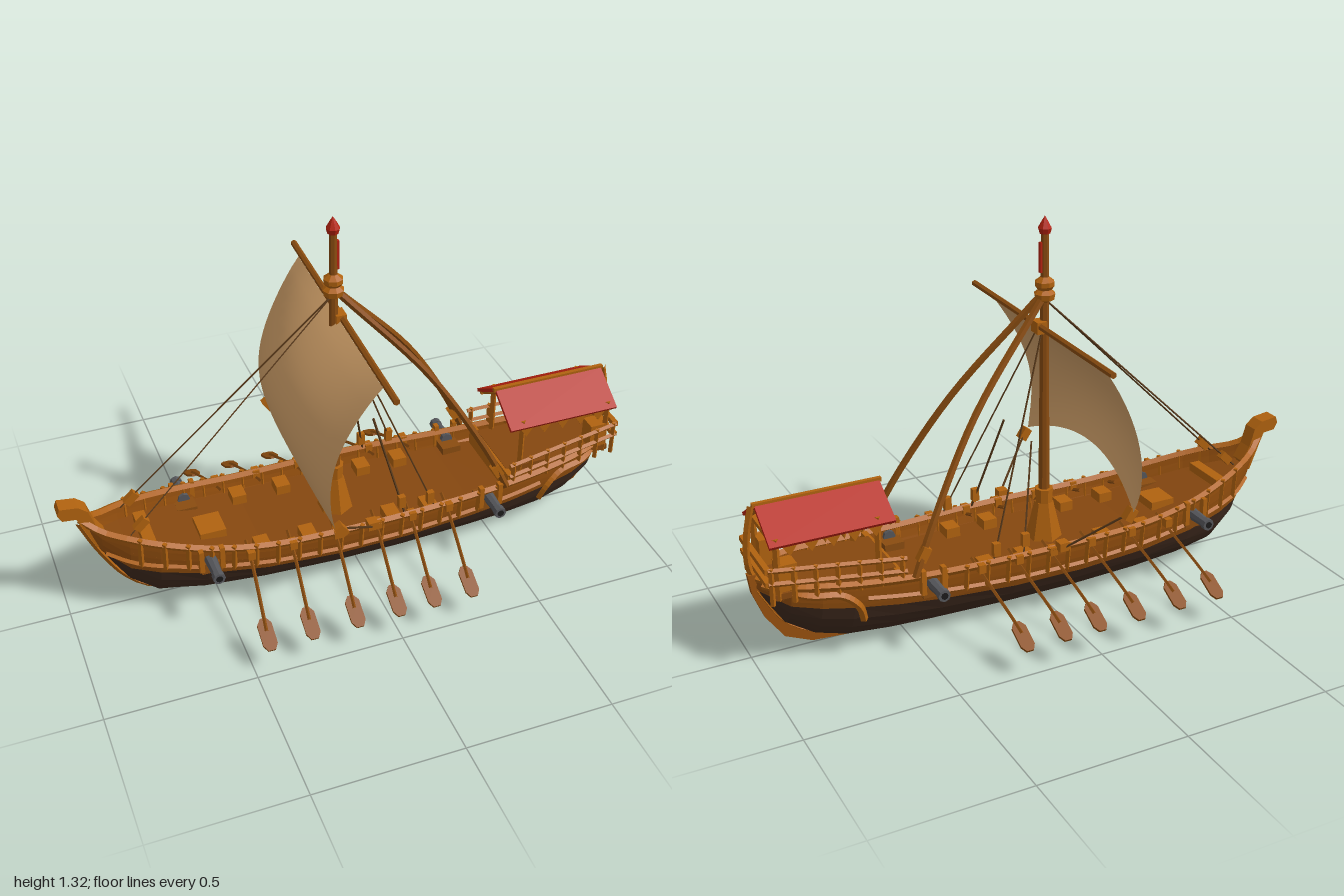
import * as THREE from 'three';

const mat = (name, color, extra = {}) => Object.assign(
  new THREE.MeshStandardMaterial({ color, flatShading: true, ...extra }), { name });
const both = { side: THREE.DoubleSide };

export function createModel() {
  const ship = new THREE.Group();
  ship.name = 'sailingShip';
  const hullWood = mat('hull wood', 0x96500e, both);
  const bottomPaint = mat('dark bottom', 0x3f2a1e, both);
  const deckWood = mat('deck wood', 0x85470f, both);
  const trim = mat('light trim', 0xb0620f);
  const spar = mat('spar wood', 0x8a4c10);
  const red = mat('red', 0xb5220f, both);
  const canvas = mat('canvas', 0xd3a26a, { side: THREE.DoubleSide, flatShading: false });
  const iron = mat('iron', 0x55565a);
  const black = mat('bore black', 0x1c1a1a);
  const rope = mat('rope', 0x5a3a1a);

  const V = (x, y, z) => new THREE.Vector3(x, y, z);
  const add = (name, geo, material, x = 0, y = 0, z = 0) => {
    const m = new THREE.Mesh(geo, material);
    m.name = name;
    m.position.set(x, y, z);
    ship.add(m);
    return m;
  };
  const box = (name, m, w, h, d, x, y, z) => add(name, new THREE.BoxGeometry(w, h, d), m, x, y, z);
  // round bar between two points
  const bar = (name, m, a, b, r0, r1 = r0, sides = 6) => {
    const dir = b.clone().sub(a);
    const o = add(name, new THREE.CylinderGeometry(r1, r0, dir.length(), sides), m);
    o.position.copy(a).add(b).multiplyScalar(0.5);
    o.quaternion.setFromUnitVectors(V(0, 1, 0), dir.normalize());
    return o;
  };
  const tube = (name, m, pts, r, n = 24, sides = 4) =>
    add(name, new THREE.TubeGeometry(new THREE.CatmullRomCurve3(pts), n, r, sides), m);
  // skin over a list of equal-length cross-sections
  const loft = (name, m, rings) => {
    const n = rings[0].length, idx = [];
    for (let i = 0; i < rings.length - 1; i++) for (let j = 0; j < n - 1; j++) {
      const a = i * n + j, b = a + n;
      idx.push(a, b, a + 1, b, b + 1, a + 1);
    }
    const g = new THREE.BufferGeometry().setFromPoints(rings.flat());
    g.setIndex(idx);
    g.computeVertexNormals();
    return add(name, g, m);
  };
  const plate = (name, m, pts, depth) => {
    const g = new THREE.ExtrudeGeometry(new THREE.Shape(pts.map(p => new THREE.Vector2(...p))),
      { depth, bevelEnabled: false });
    return add(name, g.translate(0, 0, -depth / 2), m);
  };

  // hull stations: x, keel height, sheer height, half width
  const stations = [
    [-0.93, 0.37, 0.39, 0.012], [-0.87, 0.23, 0.35, 0.05], [-0.79, 0.1, 0.33, 0.095],
    [-0.7, 0.03, 0.31, 0.132], [-0.55, 0.012, 0.28, 0.172], [-0.35, 0.005, 0.255, 0.197],
    [-0.1, 0, 0.25, 0.207], [0.15, 0, 0.25, 0.205], [0.4, 0.003, 0.25, 0.19],
    [0.55, 0.008, 0.255, 0.178], [0.7, 0.02, 0.265, 0.16], [0.8, 0.05, 0.275, 0.143],
    [0.89, 0.11, 0.28, 0.11], [0.97, 0.24, 0.29, 0.02]];
  const at = x => {
    let i = 0;
    while (i < stations.length - 2 && x > stations[i + 1][0]) i++;
    const a = stations[i], b = stations[i + 1], t = (x - a[0]) / (b[0] - a[0]);
    return a.map((v, k) => v + (b[k] - v) * t);
  };
  const hullZ = (x, y) => {
    const [, k, s, w] = at(x), t = Math.min(1, Math.max(0, (y - k) / (s - k)));
    return w * Math.sqrt(1 - (1 - t) ** 2);
  };
  const water = x => Math.min(at(x)[2], Math.max(at(x)[1], 0.13 + 0.1 * x * x));
  const xs = stations.map(s => s[0]);
  const span = (a, b, n) => Array.from({ length: n + 1 }, (_, i) => a + (b - a) * i / n);

  loft('hullBottom', bottomPaint, xs.map(x => span(-1, 1, 12).map(s => {
    const k = at(x)[1], y = k + (water(x) - k) * s * s;
    return V(x, y, Math.sign(s) * hullZ(x, y));
  })));
  loft('deck', deckWood, xs.slice(1).map(x => {
    const y = Math.max(at(x)[2] - 0.06, at(x)[1]), z = hullZ(x, y);
    return [V(x, y, z), V(x, y, -z)];
  }));
  // keel, stem and stern boards
  tube('keelAndStem', trim, stations.map(([x, k]) => V(x, Math.max(k, 0.012), 0)), 0.013, 50);
  plate('sternBoard', hullWood, [[0.68, 0.006], [0.8, 0.015], [0.89, 0.055], [0.95, 0.14],
    [0.985, 0.23], [0.995, 0.3], [0.94, 0.29], [0.9, 0.13], [0.8, 0.05]], 0.022);
  plate('bowScroll', trim, [[-0.85, 0.31], [-0.885, 0.27], [-0.925, 0.37], [-0.94, 0.405],
    [-0.985, 0.41], [-0.998, 0.435], [-0.99, 0.458], [-0.93, 0.45], [-0.9, 0.425], [-0.88, 0.36]], 0.055);

  for (const s of [1, -1]) {
    const along = (list, yf, out) => list.map(x => V(x, yf(x), s * (hullZ(x, yf(x)) + out)));
    loft('hullSide', hullWood, xs.map(x => span(0, 1, 4).map(t => {
      const y = water(x) + (at(x)[2] - water(x)) * t;
      return V(x, y, s * hullZ(x, y));
    })));
    tube('gunwale', trim, along(xs, x => at(x)[2], 0), 0.013, 60);
    tube('wale', trim, along(span(-0.86, 0.66, 20), x => water(x) + 0.035, 0.002), 0.009, 60);
    tube('sternWale', trim, [V(0.67, 0.13, s * 0.15), V(0.69, 0.19, s * 0.165),
      V(0.74, 0.235, s * 0.158), V(0.84, 0.25, s * 0.138), V(0.96, 0.275, s * 0.045)], 0.013);
    // upright frames on the outside
    for (const x of span(-0.76, 0.48, 17)) {
      const top = at(x)[2], low = water(x) + 0.03;
      bar('sideFrame', trim, V(x, low, s * (hullZ(x, low) + 0.008)), V(x, top + 0.012, s * (at(x)[3] + 0.008)), 0.009, 0.009, 4);
    }
    // oars with flat blades
    for (const x of [-0.445, -0.3, -0.145, 0, 0.125, 0.26]) {
      tube('oarShaft', spar, [V(x + 0.03, 0.25, s * 0.14), V(x + 0.025, 0.22, s * 0.22),
        V(x + 0.008, 0.155, s * 0.37), V(x, 0.12, s * 0.44)], 0.006, 8);
      const blade = plate('oarBlade', spar, [[-0.01, -0.055], [0.01, -0.055], [0.024, -0.035],
        [0.024, 0.035], [0.012, 0.055], [-0.012, 0.055], [-0.024, 0.035], [-0.024, -0.035]], 0.008);
      blade.position.set(x, 0.112, s * 0.447);
      blade.rotation.x = s * (Math.PI / 2 + 0.48);
      box('oarLock', trim, 0.025, 0.03, 0.03, x + 0.027, 0.245, s * 0.205);
    }
    // cannons
    for (const [x, y, z] of [[-0.545, 0.232, 0.16], [0.45, 0.222, 0.17]]) {
      bar('cannonBarrel', iron, V(x, y, s * z), V(x, y, s * (z + 0.1)), 0.022, 0.017, 8);
      bar('cannonMuzzle', iron, V(x, y, s * (z + 0.09)), V(x, y, s * (z + 0.112)), 0.021, 0.021, 8);
      bar('cannonBore', black, V(x, y, s * (z + 0.11)), V(x, y, s * (z + 0.114)), 0.012, 0.012, 8);
      box('cannonMount', spar, 0.07, 0.04, 0.07, x, y - 0.025, s * (z - 0.01));
      for (const d of [-0.035, 0.035]) box('gunPortPost', trim, 0.016, 0.085, 0.022, x + d, y + 0.015, s * (z + 0.025));
    }
    // shrouds, stays and their blocks
    tube('heavyShroud', spar, [V(-0.03, 1.04, s * 0.012), V(0.25, 0.72, s * 0.095),
      V(0.44, 0.41, s * 0.17), V(0.51, 0.26, s * 0.195)], 0.012, 16, 5);
    box('shroudBlock', trim, 0.03, 0.05, 0.025, 0.475, 0.33, s * 0.183).rotation.z = 0.5;
    bar('foreStay', rope, V(-0.05, 1.04, 0), V(-0.78, 0.33, s * 0.075), 0.003, 0.003, 4);
    box('foreStayBlock', trim, 0.028, 0.05, 0.022, -0.742, 0.365, s * 0.071).rotation.z = -0.8;
    bar('sideStay', rope, V(-0.04, 0.96, s * 0.01), V(0.24, 0.25, s * 0.2), 0.003, 0.003, 4);
    bar('sideStayLow', rope, V(0.05, 0.6, s * 0.1), V(0.13, 0.25, s * 0.2), 0.004, 0.004, 4);
    for (const [x, y] of [[0.225, 0.29], [0.12, 0.3]]) box('stayBlock', trim, 0.024, 0.045, 0.02, x, y, s * 0.19);
    bar('sheetRope', rope, V(-0.18, 0.42, s * 0.38), V(0.0, 0.26, s * 0.235), 0.004, 0.004, 4);
    box('sheetBlock', trim, 0.03, 0.045, 0.03, -0.165, 0.405, s * 0.37).rotation.z = 0.6;
    box('sheetCleat', trim, 0.035, 0.03, 0.035, 0.0, 0.265, s * 0.225);
    // benches and stores on deck
    for (const x of [-0.36, -0.2, 0.1, 0.24]) box('bench', trim, 0.05, 0.035, 0.06, x, 0.215, s * 0.14);

    // stern gallery rails
    const railZ = x => 0.178 - (x - 0.53) * 0.11, railY = x => 0.325 + (x - 0.53) * 0.09;
    for (const d of [0, -0.045])
      bar('sternRail', trim, V(0.53, railY(0.53) + d, s * railZ(0.53)), V(0.965, railY(0.965) + d, s * railZ(0.965)), 0.009, 0.009, 4);
    for (const x of span(0.545, 0.955, 6))
      bar('railPost', trim, V(x, 0.245, s * railZ(x)), V(x, railY(x) + 0.008, s * railZ(x)), 0.009, 0.009, 4);
    box('sternSeat', trim, 0.06, 0.09, 0.06, 0.9, 0.325, s * 0.095);
    // canopy
    for (const x of [0.6, 0.93]) bar('canopyPost', trim, V(x, 0.25, s * 0.115), V(x, 0.46, s * 0.115), 0.011, 0.011, 4);
    const slope = Math.atan2(0.085, 0.135);
    box('canopyRoof', red, 0.41, 0.012, 0.16, 0.75, 0.483, s * 0.068).rotation.x = s * slope;
    for (const x of [0.56, 0.94]) {
      bar('gableBeam', trim, V(x, 0.435, s * 0.13), V(x, 0.515, 0), 0.009, 0.009, 4);
    }
    box('eavesBeam', trim, 0.4, 0.014, 0.012, 0.75, 0.44, s * 0.12);
    for (const x of span(0.61, 0.89, 4))
      plate('eavesPennant', trim, [[x - 0.028, 0.442], [x, 0.4], [x + 0.028, 0.442]], 0.008).position.z = s * 0.126;
  }

  box('sternFloor', deckWood, 0.4, 0.02, 0.24, 0.745, 0.262, 0);
  box('sternStep', trim, 0.02, 0.08, 0.32, 0.545, 0.23, 0);
  box('aftRail', trim, 0.018, 0.018, 0.26, 0.965, 0.362, 0);
  box('aftLowRail', trim, 0.018, 0.016, 0.26, 0.965, 0.318, 0);
  box('canopyRidge', trim, 0.425, 0.014, 0.014, 0.75, 0.53, 0);
  box('canopyTie', trim, 0.018, 0.015, 0.24, 0.93, 0.44, 0);
  tube('sternPost', trim, [V(0.965, 0.26, 0), V(0.988, 0.33, 0), V(0.985, 0.43, 0), V(0.965, 0.53, 0)], 0.011, 10);
  box('foreHatch', trim, 0.09, 0.03, 0.1, -0.5, 0.225, 0);
  box('foreBench', trim, 0.04, 0.03, 0.17, -0.72, 0.275, 0);

  // mast with foot, collars and finial
  const mx = -0.05;
  add('mastFoot', new THREE.CylinderGeometry(0.032, 0.062, 0.13, 6), trim, mx, 0.255, 0);
  add('mastFootCollar', new THREE.CylinderGeometry(0.032, 0.03, 0.05, 8), trim, mx, 0.345, 0);
  bar('mast', spar, V(mx, 0.18, 0), V(mx, 1.27, 0), 0.021, 0.013, 8);
  add('mastCollar', new THREE.LatheGeometry([[0.014, 1.03], [0.032, 1.04], [0.036, 1.06], [0.022, 1.072],
    [0.033, 1.085], [0.033, 1.1], [0.014, 1.115]].map(p => new THREE.Vector2(...p)), 8), trim, mx);
  add('mastFinial', new THREE.LatheGeometry([[0, 1.25], [0.018, 1.258], [0.023, 1.275], [0.012, 1.295],
    [0, 1.315]].map(p => new THREE.Vector2(...p)), 8), red, mx);
  box('mastStripe', red, 0.008, 0.1, 0.012, mx + 0.015, 1.18, 0);

  // yard and billowing sail, turned slightly on the mast
  const rig = new THREE.Group();
  rig.name = 'sailRig';
  rig.rotation.y = -0.03;
  const yard = bar('yard', spar, V(-0.025, 0.955, -0.507), V(-0.025, 0.955, 0.507), 0.011, 0.011, 6);
  const cuff = box('yardCuff', trim, 0.035, 0.04, 0.05, -0.03, 0.95, 0);
  const cloth = new THREE.PlaneGeometry(2, 1, 20, 16);
  const p = cloth.attributes.position;
  for (let i = 0; i < p.count; i++) {
    const u = p.getX(i), v = 0.5 - p.getY(i);
    p.setXYZ(i, -0.035 - 0.215 * Math.sin(2.1 * v) ** 0.9 * (1 - 0.25 * u * u),
      0.95 - v * (0.44 + 0.09 * u * u),
      u * (0.418 - 0.02 * Math.sin(Math.PI * v) - 0.03 * v ** 8));
  }
  cloth.computeVertexNormals();
  rig.add(yard, cuff, add('sail', cloth, canvas));
  ship.add(rig);

  ship.position.z = -0.008;
  const model = new THREE.Group();
  model.name = 'ship';
  model.add(ship);
  return model;
}
